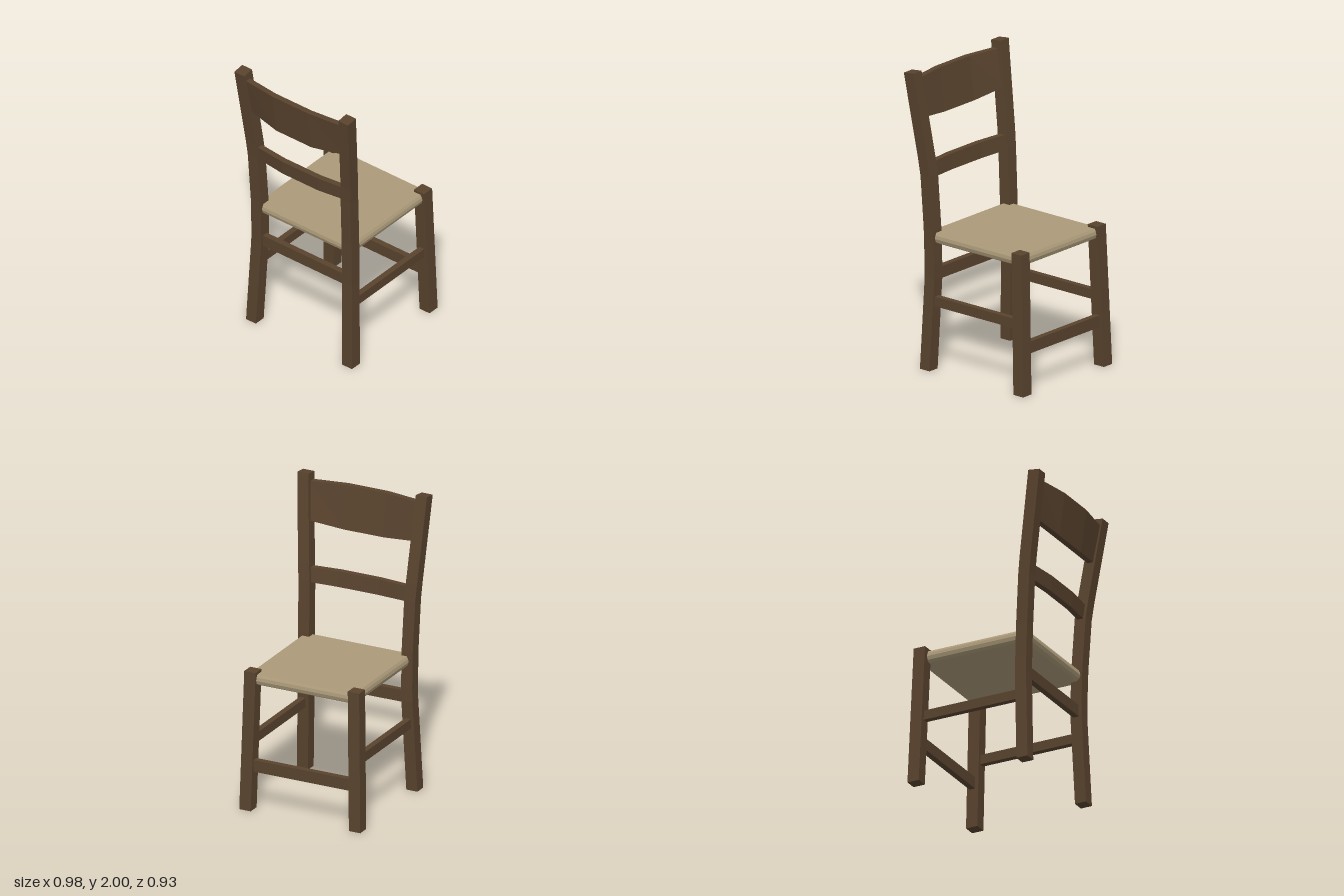
import * as THREE from 'three';

const wood = new THREE.MeshStandardMaterial({ color: 0x59432e });
wood.name = 'dark wood';
const rush = new THREE.MeshStandardMaterial({ color: 0xab9a79 });
rush.name = 'woven seat';

// Joins rings of corners into a closed, flat-faced solid; rings run
// anticlockwise as seen from the end of the path.
function loft(rings) {
  const pos = [];
  const tri = (a, b, c) => pos.push(...a, ...b, ...c);
  const n = rings[0].length;
  for (let r = 0; r < rings.length - 1; r++) {
    for (let i = 0; i < n; i++) {
      const j = (i + 1) % n;
      tri(rings[r][i], rings[r][j], rings[r + 1][j]);
      tri(rings[r][i], rings[r + 1][j], rings[r + 1][i]);
    }
  }
  // End caps meet at the middle of the ring
  const mid = (ring) => [0, 1, 2].map((k) => ring.reduce((s, p) => s + p[k], 0) / n);
  const first = rings[0], last = rings[rings.length - 1];
  for (let i = 0; i < n; i++) {
    const j = (i + 1) % n;
    tri(mid(first), first[j], first[i]);
    tri(mid(last), last[i], last[j]);
  }
  const g = new THREE.BufferGeometry();
  g.setAttribute('position', new THREE.Float32BufferAttribute(pos, 3));
  g.computeVertexNormals();
  return g;
}

// Level rectangle, optionally sloped along x
const rect = (x0, x1, y, z0, z1, slope = 0) => [
  [x1, y + slope, z1], [x1, y + slope, z0], [x0, y - slope, z0], [x0, y - slope, z1],
];

// Square post through centre points [x, y, z, slope]
const post = (path, h = 0.04) =>
  loft(path.map(([x, y, z, s]) => rect(x - h, x + h, y, z - h, z + h, s)));

// Curved back slat through sections [z, back x at top, lean, bottom y, top y]
const slat = (sections, t) => loft(sections.map(([z, x, lean, y0, y1]) => [
  [x + lean + t, y0, z], [x + t, y1, z], [x, y1, z], [x + lean, y0, z],
]));

export function createModel() {
  const group = new THREE.Group();
  const add = (name, geometry, material = wood) => {
    const m = new THREE.Mesh(geometry, material);
    m.name = name;
    group.add(m);
    return m;
  };
  const rung = (name, w, h, d, x, y, z) =>
    add(name, new THREE.BoxGeometry(w, h, d)).position.set(x, y, z);

  for (const side of [1, -1]) {
    const at = (z, shift) => side * z + shift;
    // Bent back posts, leaning back and splaying outward above the seat
    add('backPost', post([
      [-0.341, 0, at(0.395, -0.014)],
      [-0.318, 0.62, at(0.373, -0.012)],
      [-0.319, 0.72, at(0.372, -0.011)],
      [-0.325, 0.95, at(0.373, -0.01)],
      [-0.345, 1.3, at(0.381, -0.01)],
      [-0.358, 1.42, at(0.389, -0.008)],
      [-0.437, 1.994, at(0.427, 0), 0.005],
    ]));
    // Tapered-in front legs
    add('frontLeg', post([
      [0.446, 0, at(0.395, -0.015)],
      [0.414, 0.945, at(0.373, -0.012)],
    ], 0.041));
    rung('sideRung', 0.72, 0.065, 0.04, 0.05, 0.468, at(0.381, -0.011));
  }

  rung('frontRung', 0.04, 0.08, 0.74, 0.439, 0.305, -0.012);
  rung('backRung', 0.04, 0.08, 0.72, -0.319, 0.64, -0.011);

  // Bowed slats between the back posts
  add('topSlat', slat([
    [-0.4, -0.457, 0.042, 1.69, 1.942],
    [-0.145, -0.49, 0.04, 1.657, 1.947],
    [0.145, -0.49, 0.04, 1.657, 1.947],
    [0.4, -0.457, 0.042, 1.69, 1.942],
  ], 0.04));
  add('middleSlat', slat([
    [-0.38, -0.372, 0.011, 1.288, 1.386],
    [-0.145, -0.396, 0.011, 1.283, 1.386],
    [0.145, -0.396, 0.011, 1.283, 1.386],
    [0.365, -0.372, 0.011, 1.288, 1.386],
  ], 0.04));

  // Seat pad with rolled edges and a slight sag underneath
  const rolled = [[0.2, 0.842], [0.03, 0.851], [0.008, 0.864], [0, 0.888], [0.004, 0.91], [0.015, 0.927]];
  add('seat', loft(rolled.map(([i, y]) =>
    rect(-0.35 + i, 0.445 - i, y, -0.395 + i, 0.387 - i))), rush);

  return group;
}
